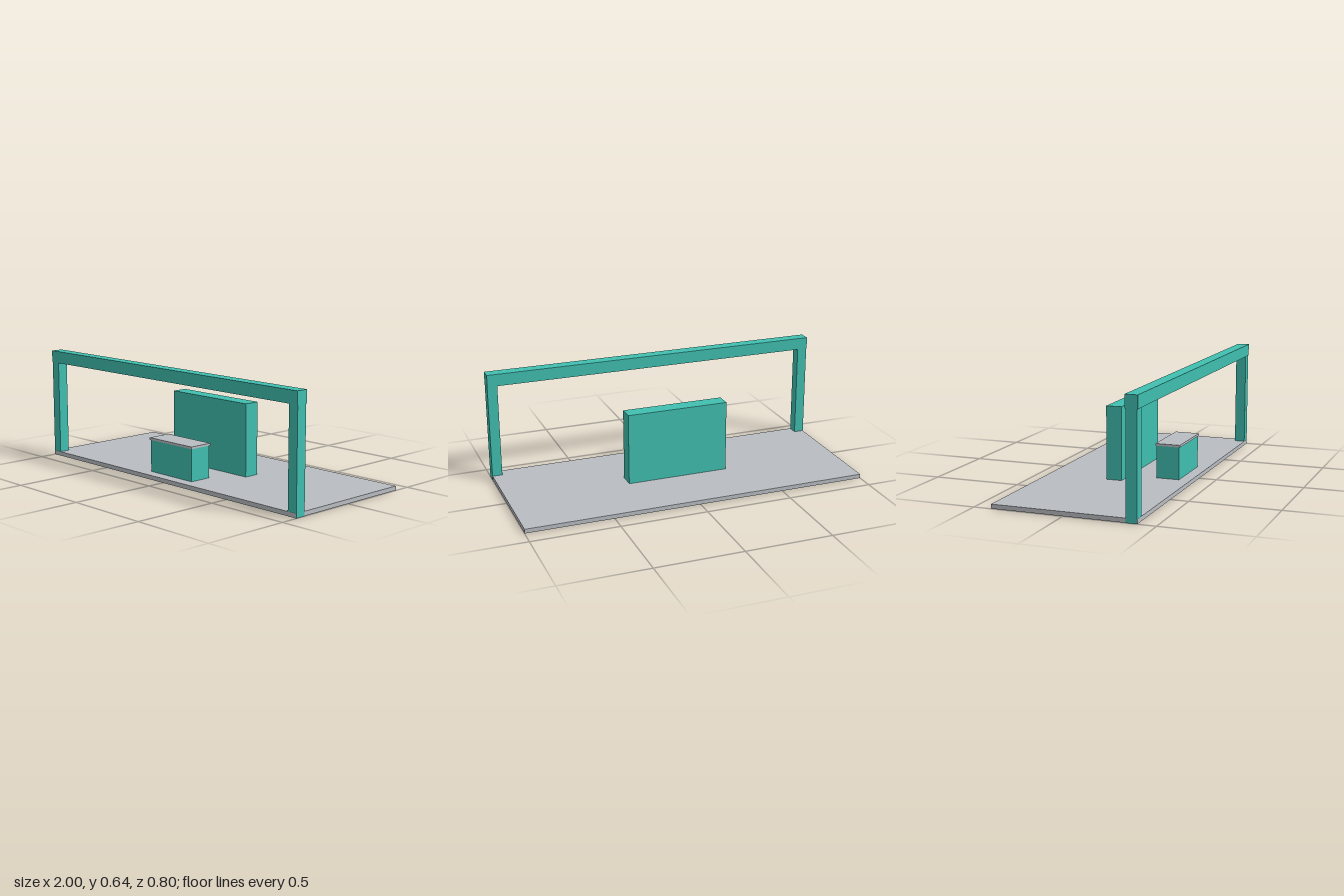
import * as THREE from 'three';

export function createModel() {
  const group = new THREE.Group();
  const teal = new THREE.MeshStandardMaterial({ color: 0x40bfb0 });
  teal.name = 'teal';
  const grey = new THREE.MeshStandardMaterial({ color: 0xb9bdc2 });
  grey.name = 'grey';

  // Box given by its extents along each axis
  function box(name, material, [x0, x1], [y0, y1], [z0, z1]) {
    const mesh = new THREE.Mesh(new THREE.BoxGeometry(x1 - x0, y1 - y0, z1 - z0), material);
    mesh.position.set((x0 + x1) / 2, (y0 + y1) / 2, (z0 + z1) / 2);
    mesh.name = name;
    group.add(mesh);
  }

  // Floor, a hair inside the feet of the parts that pass through it
  box('floor', grey, [-0.999, 0.999], [0.0007, 0.025], [-0.4, 0.4]);

  // Entrance frame: two posts and a header beam
  box('rightPost', teal, [-1, -0.942], [0, 0.572], [0.338, 0.399]);
  box('leftPost', teal, [0.942, 1], [0, 0.572], [0.338, 0.399]);
  box('headerBeam', teal, [-1, 1], [0.572, 0.642], [0.333, 0.402]);

  // Back wall in the middle of the floor
  box('backWall', teal, [-0.3, 0.296], [0, 0.44], [-0.046, 0.044]);

  // Counter with an overhanging top
  box('counterBody', teal, [-0.171, 0.167], [0, 0.209], [0.203, 0.335]);
  box('counterTop', grey, [-0.176, 0.172], [0.209, 0.222], [0.198, 0.34]);

  return group;
}
